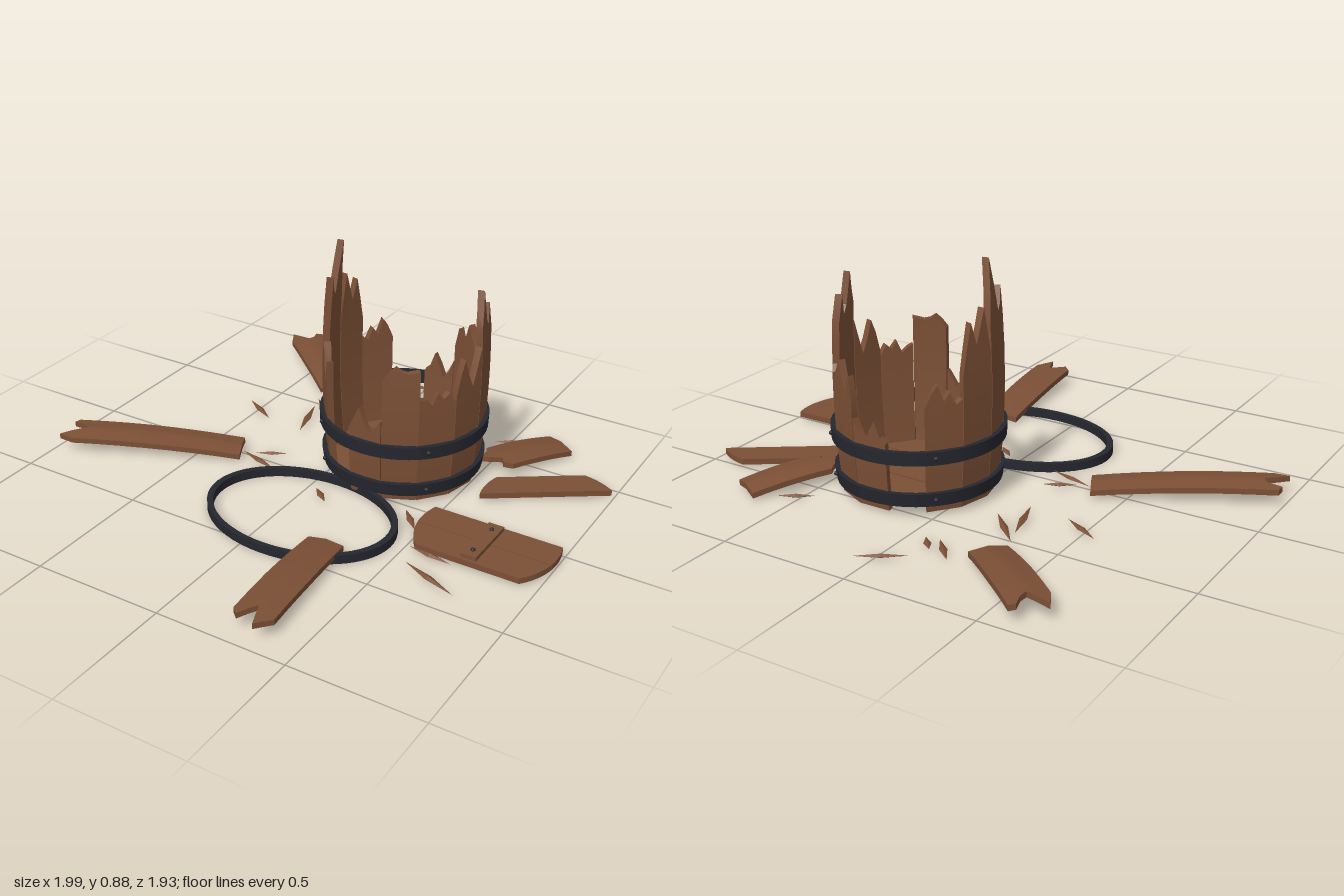
import * as THREE from 'three';
import { toCreasedNormals } from 'three/addons/utils/BufferGeometryUtils.js';

const wood = new THREE.MeshStandardMaterial({ color: 0x7b4f35 });
wood.name = 'wood';
const iron = new THREE.MeshStandardMaterial({ color: 0x25272f });
iron.name = 'iron';

const CX = 0.215, CZ = -0.26;      // barrel axis
const STEP = Math.PI * 2 / 14;     // fourteen staves, two missing

function add(parent, name, geometry, material, x = 0, y = 0, z = 0) {
  const mesh = new THREE.Mesh(geometry, material);
  mesh.name = name;
  mesh.position.set(x, y, z);
  parent.add(mesh);
  return mesh;
}

// A plank whose far end follows a jagged profile; place(u, length, side) bends it
function plank(profile, rows, place) {
  const cols = profile.length - 1;
  const geo = new THREE.BoxGeometry(1, 1, 1, cols, rows, 1);
  const pos = geo.attributes.position;
  for (let i = 0; i < pos.count; i++) {
    const u = pos.getX(i) + 0.5, t = pos.getY(i) + 0.5;
    const p = place(u, t * profile[Math.round(u * cols)], pos.getZ(i) + 0.5);
    pos.setXYZ(i, p[0], p[1], p[2]);
  }
  return toCreasedNormals(geo, 0.35);
}

// Apothem of the bulging barrel at a height
const barrelRadius = y => 0.304 - 0.13 * (y - 0.42) ** 2;

function barrelStave(index, profile) {
  const a = (index + 0.5) * STEP, c = Math.cos(a), s = Math.sin(a);
  return plank(profile, 7, (u, h, side) => {
    const r = barrelRadius(h) - (1 - side) * 0.026;
    const w = (0.5 - u) * 2 * r * Math.tan(STEP / 2) * 0.975;
    return [c * r - s * w, 0.012 + h * 0.988, s * r + c * w];
  });
}

// Fallen stave, arched from its whole end (x0, z0) towards its broken end
function fallenStave(x0, z0, x1, z1, profile, lift) {
  const len = Math.hypot(x1 - x0, z1 - z0);
  const dx = (x1 - x0) / len, dz = (z1 - z0) / len;
  return plank(profile, 7, (u, t, side) => {
    const s = t * len, w = (u - 0.5) * (0.136 + 0.012 * Math.min(t * 2, 1));
    const camber = 0.01 * (1 - Math.abs(2 * u - 1));
    const y = 0.008 + lift * (2 * t - 1.15 * t * t) + camber + side * 0.021;
    return [x0 + dx * s - dz * w, y, z0 + dz * s + dx * w];
  });
}

// Slice of a round board between two parallel chords, lying flat
function discSlice(radius, d0, d1, thickness) {
  const a0 = Math.asin(Math.max(-1, d0 / radius)), a1 = Math.asin(Math.min(1, d1 / radius));
  const right = [], left = [];
  for (let i = 0; i <= 10; i++) {
    const a = a0 + (a1 - a0) * i / 10;
    const x = Math.max(radius * Math.cos(a), 0.002), y = radius * Math.sin(a);
    right.push(new THREE.Vector2(x, y));
    left.unshift(new THREE.Vector2(-x, y));
  }
  const shape = new THREE.Shape([...right, ...left]);
  return new THREE.ExtrudeGeometry(shape, { depth: thickness, bevelEnabled: false }).rotateX(-Math.PI / 2);
}

// Flat iron band with a rectangular section
function hoop(inner0, inner1, outer0, outer1, y0, y1) {
  const pts = [[inner0, y0], [outer0, y0], [outer1, y1], [inner1, y1], [inner0, y0]];
  return toCreasedNormals(new THREE.LatheGeometry(pts.map(p => new THREE.Vector2(...p)), 56), 0.6);
}

export function createModel() {
  const model = new THREE.Group();
  model.name = 'brokenBarrel';

  const barrel = new THREE.Group();
  barrel.name = 'barrel';
  barrel.position.set(CX, 0, CZ);
  model.add(barrel);

  // Standing staves, keyed by position around the barrel
  const staves = {
    0: [0.42, 0.5, 0.55, 0.48, 0.43, 0.5, 0.57],
    1: [0.43, 0.42, 0.4, 0.45, 0.42, 0.44, 0.4],
    2: [0.5, 0.53, 0.55, 0.535, 0.53, 0.535, 0.54],
    3: [0.27, 0.32, 0.37, 0.3, 0.27, 0.3, 0.33],
    5: [0.44, 0.48, 0.52, 0.46, 0.38, 0.43, 0.48],
    6: [0.66, 0.76, 0.88, 0.78, 0.68, 0.7, 0.76],
    7: [0.5, 0.6, 0.68, 0.6, 0.66, 0.72, 0.55],
    8: [0.4, 0.45, 0.48, 0.42, 0.45, 0.4, 0.42],
    10: [0.33, 0.28, 0.25, 0.3, 0.34, 0.28, 0.26],
    11: [0.42, 0.47, 0.52, 0.46, 0.42, 0.48, 0.4],
    12: [0.38, 0.42, 0.46, 0.42, 0.38, 0.42, 0.46],
    13: [0.64, 0.7, 0.77, 0.65, 0.62, 0.7, 0.6],
  };
  for (const k in staves) add(barrel, 'stave', barrelStave(Number(k), staves[k]), wood);

  // Floor boards
  for (const [d0, d1] of [[-0.272, -0.095], [-0.087, 0.09], [0.098, 0.272]]) {
    add(barrel, 'floorBoard', discSlice(0.272, d0, d1, 0.025), wood, 0, 0.03, 0);
  }

  // Hoops and their rivets
  add(barrel, 'lowerHoop', hoop(0.285, 0.292, 0.303, 0.31, 0.04, 0.09), iron);
  add(barrel, 'upperHoop', hoop(0.3, 0.302, 0.318, 0.32, 0.2, 0.25), iron);
  for (const [r, y] of [[0.307, 0.065], [0.319, 0.225]]) {
    for (let i = 0; i < 4; i++) {
      const a = Math.PI / 4 + i * Math.PI / 2;
      add(barrel, 'hoopRivet', new THREE.SphereGeometry(0.009, 8, 6), iron, Math.cos(a) * r, y, Math.sin(a) * r);
    }
  }

  // Bent hoop lying on the ground
  const ring = add(model, 'fallenHoop', hoop(0.935, 0.935, 1, 1, 0, 0.034), iron, 0.088, 0, 0.265);
  ring.scale.set(0.37, 1, 0.27);

  // Fallen staves
  const fallen = [
    [-0.31, -0.63, -0.65, -0.92, [0.9, 1.04, 0.95, 0.87, 0.9, 0.98, 0.97], 0.042],
    [-0.355, 0, -0.985, 0.3, [0.94, 1.02, 0.96, 0.88, 0.9, 0.97, 0.95], 0.042],
    [0.27, 0.39, 0.325, 0.95, [0.92, 0.97, 1.02, 0.86, 0.91, 0.97, 0.92], 0.042],
    [0.69, -0.675, 0.52, -0.36, [0.8, 0.88, 0.84, 0.97, 1.02, 0.9, 0.85], 0.035],
  ];
  for (const [x0, z0, x1, z1, profile, lift] of fallen) {
    add(model, 'fallenStave', fallenStave(x0, z0, x1, z1, profile, lift), wood);
  }

  // Larger piece of the lid with its batten
  const lid = new THREE.Group();
  lid.name = 'lidPiece';
  lid.position.set(0.738, 0.008, 0.07);
  model.add(lid);
  add(lid, 'lidBoard', discSlice(0.26, -0.17, -0.043, 0.022), wood);
  add(lid, 'lidBoard', discSlice(0.26, -0.04, 0.078, 0.022), wood);
  add(lid, 'lidBatten', new THREE.BoxGeometry(0.06, 0.015, 0.225), wood, 0, 0.0295, 0.046);
  for (const z of [-0.027, 0.12]) {
    add(lid, 'battenRivet', new THREE.SphereGeometry(0.009, 8, 6), iron, 0, 0.037, z);
  }

  // Smaller split board of the lid
  add(model, 'lidSplitBoard', discSlice(0.26, 0.087, 0.2, 0.022), wood, 0.837, 0.008, -0.24).rotation.y = 0.6;

  // Splinters: end points on the ground
  const splinters = [
    [-0.1, -0.78, 0.06, -0.88], [-0.22, -0.74, -0.12, -0.63], [-0.13, -0.71, -0.07, -0.64],
    [-0.33, -0.52, -0.18, -0.36], [-0.31, -0.46, -0.25, -0.25], [-0.56, -0.36, -0.41, -0.27],
    [0.45, -0.58, 0.57, -0.65], [-0.3, -0.01, -0.19, -0.07], [-0.35, 0, -0.16, 0.06],
    [0.04, 0.085, 0.115, 0.15], [0.395, 0.04, 0.485, 0.14], [0.55, 0.33, 0.78, 0.42],
    [0.52, 0.24, 0.69, 0.265],
  ];
  for (const [x0, z0, x1, z1] of splinters) {
    const dx = x1 - x0, dz = z1 - z0;
    const shard = new THREE.OctahedronGeometry(1).scale(Math.hypot(dx, dz) / 2, 0.008, 0.014);
    shard.computeVertexNormals();
    add(model, 'splinter', shard, wood, (x0 + x1) / 2, 0.012, (z0 + z1) / 2).rotation.y = Math.atan2(-dz, dx);
  }

  return model;
}
